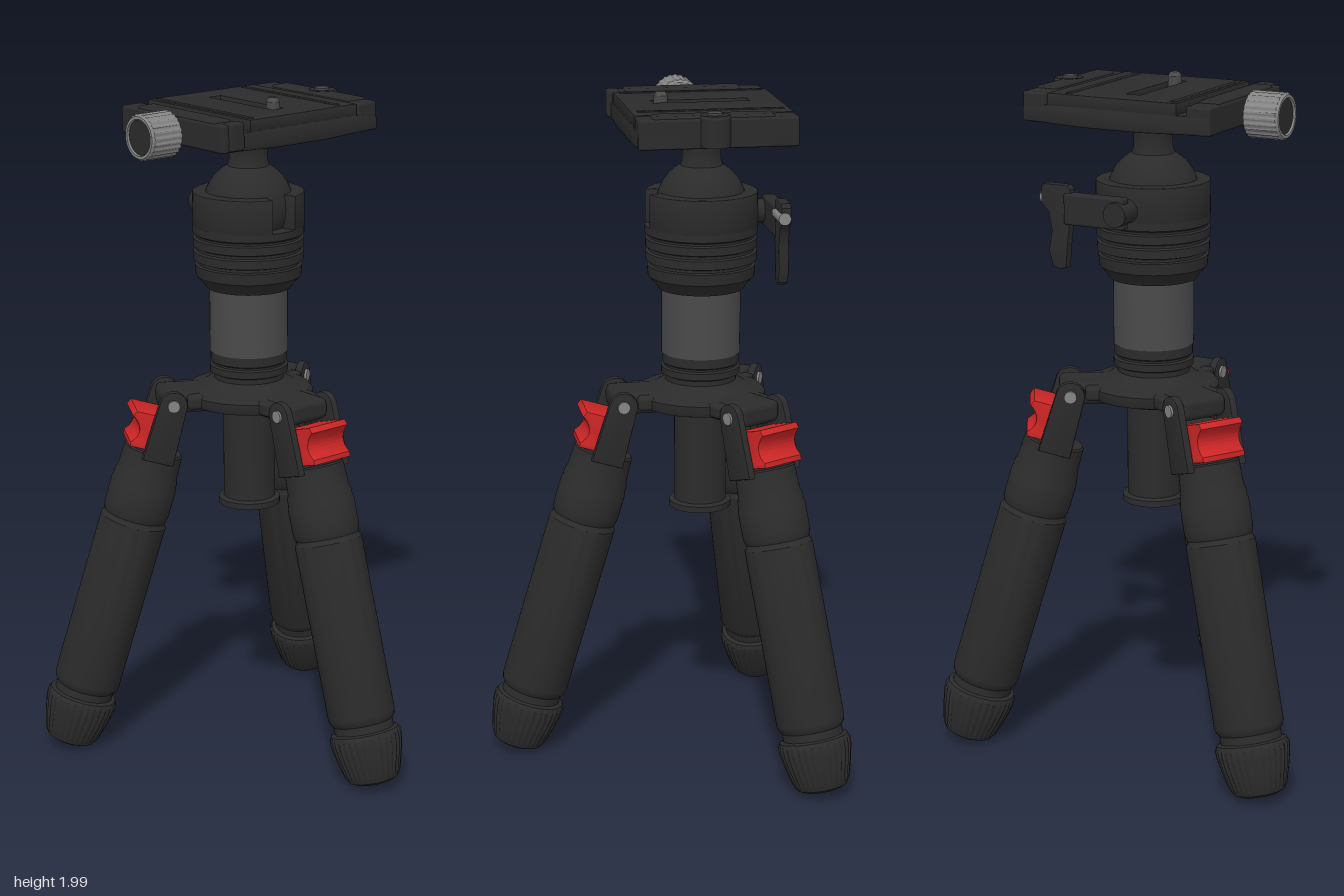
import * as THREE from 'three';
import { toCreasedNormals } from 'three/addons/utils/BufferGeometryUtils.js';
import { RoundedBoxGeometry } from 'three/addons/geometries/RoundedBoxGeometry.js';

const mat = (name, color) => {
  const m = new THREE.MeshStandardMaterial({ color });
  m.name = name;
  return m;
};
const black = mat('black', 0x2b2b2b);
const grey = mat('column grey', 0x4a4a4a);
const silver = mat('silver', 0x858585);
const red = mat('red', 0xcc2525);

const AXIS = -0.143; // x of the centre column

function add(parent, name, geometry, material, x = 0, y = 0, z = 0) {
  const mesh = new THREE.Mesh(geometry, material);
  mesh.name = name;
  mesh.position.set(x, y, z);
  parent.add(mesh);
  return mesh;
}

// Turned solid; profile is [radius, y] from bottom to top. Ribs push every other column outwards.
function turned(profile, segments = 48, ribDepth = 0, ribFrom = -Infinity, ribTo = Infinity) {
  const g = new THREE.LatheGeometry(profile.map(([r, y]) => new THREE.Vector2(r, y)), segments);
  if (ribDepth) {
    const p = g.attributes.position, n = profile.length;
    for (let i = 0; i < p.count; i++) {
      const column = Math.floor(i / n) % segments, y = p.getY(i);
      if (column % 4 < 2 && y >= ribFrom && y <= ribTo) {
        p.setX(i, p.getX(i) * (1 + ribDepth));
        p.setZ(i, p.getZ(i) * (1 + ribDepth));
      }
    }
  }
  return toCreasedNormals(g, 0.5);
}

// Box given by its min and max corners
function block(parent, name, [x0, y0, z0], [x1, y1, z1], material = black, radius = 0.008) {
  const g = new RoundedBoxGeometry(x1 - x0, y1 - y0, z1 - z0, 2, radius);
  return add(parent, name, g, material, (x0 + x1) / 2, (y0 + y1) / 2, (z0 + z1) / 2);
}

// Extrusion centred on its depth
function slab(shape, depth, bevel = 0.005) {
  const g = new THREE.ExtrudeGeometry(shape, {
    depth: depth - 2 * bevel, bevelEnabled: bevel > 0, bevelThickness: bevel,
    bevelSize: bevel, bevelOffset: -bevel, bevelSegments: 2, curveSegments: 24,
  });
  g.translate(0, 0, bevel - depth / 2);
  return toCreasedNormals(g, 0.6);
}

const polygon = (pts) => new THREE.Shape(pts.map(([x, y]) => new THREE.Vector2(x, y)));

function buildLeg() {
  const leg = new THREE.Group();
  leg.name = 'leg';
  // Tube with upper sleeve and groove above the foot
  add(leg, 'legTube', turned([
    [0, -0.97], [0.088, -0.97], [0.088, -0.935], [0.096, -0.925], [0.1, -0.91], [0.1, -0.39],
    [0.096, -0.385], [0.093, -0.375], [0.097, -0.365], [0.099, -0.35], [0.099, -0.275],
    [0.096, -0.268], [0.096, -0.25], [0.091, -0.235], [0.088, -0.165], [0.083, -0.16], [0, -0.16],
  ]), black);
  // Ribbed rubber foot
  add(leg, 'foot', turned([
    [0, -1.118], [0.055, -1.116], [0.072, -1.108], [0.081, -1.09], [0.094, -1.04], [0.103, -0.995],
    [0.104, -0.975], [0.1, -0.962], [0.088, -0.958], [0, -0.958],
  ], 128, 0.03, -1.095, -0.97), black);
  // Hinge cheeks and pin
  const cheek = new THREE.Shape();
  cheek.moveTo(-0.05, -0.18);
  cheek.lineTo(0.045, -0.18);
  cheek.lineTo(0.042, 0);
  cheek.absarc(0, 0, 0.042, 0, Math.PI, false);
  cheek.lineTo(-0.05, -0.18);
  for (const side of [-1, 1]) {
    add(leg, 'hingeCheek', slab(cheek, 0.024), black, 0, 0, side * 0.087);
    const pin = add(leg, 'hingePin', new THREE.CylinderGeometry(0.018, 0.018, 0.012, 24), silver, 0, 0, side * 0.1);
    pin.rotation.x = Math.PI / 2;
  }
  // Scooped angle latch
  const latch = new THREE.Shape();
  latch.moveTo(-0.02, -0.155);
  latch.lineTo(0.088, -0.155);
  latch.lineTo(0.09, -0.14);
  latch.quadraticCurveTo(0.05, -0.1, 0.103, -0.062);
  latch.lineTo(0.095, -0.045);
  latch.lineTo(-0.02, -0.045);
  add(leg, 'angleLatch', slab(latch, 0.142), red);
  return leg;
}

function buildSpider(root) {
  const spider = new THREE.Group();
  spider.name = 'spider';
  spider.position.x = AXIS;
  root.add(spider);
  add(spider, 'hub', turned([
    [0, 1.06], [0.12, 1.06], [0.135, 1.075], [0.185, 1.08], [0.19, 1.09], [0.19, 1.112],
    [0.18, 1.122], [0.14, 1.13], [0.11, 1.15], [0, 1.15],
  ]), black);
  for (let i = 0; i < 3; i++) {
    const arm = new THREE.Group();
    arm.name = 'legMount';
    arm.rotation.y = i * Math.PI * 2 / 3;
    spider.add(arm);
    block(arm, 'yoke', [0.1, 1.063, -0.073], [0.275, 1.128, 0.073], black, 0.02);
    block(arm, 'yokeShoulder', [0.1, 1.08, -0.1], [0.2, 1.122, 0.1], black, 0.012);
    const leg = buildLeg();
    leg.position.set(0.243, 1.095, 0);
    leg.rotation.z = THREE.MathUtils.degToRad(16.6);
    arm.add(leg);
  }
}

function buildColumn(root) {
  add(root, 'lowerColumn', turned([
    [0, 0.757], [0.092, 0.757], [0.092, 0.775], [0.077, 0.78], [0.077, 1.07], [0, 1.07],
  ]), black, AXIS);
  add(root, 'columnCollar', turned([
    [0, 1.13], [0.105, 1.13], [0.105, 1.165], [0.116, 1.17], [0.116, 1.19], [0.108, 1.194],
    [0.108, 1.2], [0.114, 1.204], [0.114, 1.232], [0, 1.232],
  ]), black, AXIS);
  add(root, 'column', turned([[0, 1.232], [0.116, 1.232], [0.116, 1.43], [0, 1.43]]), grey, AXIS);
}

function buildBallHead(root) {
  const head = new THREE.Group();
  head.name = 'ballHead';
  head.position.x = AXIS;
  root.add(head);
  add(head, 'headBase', turned([
    [0, 1.425], [0.125, 1.425], [0.135, 1.44], [0.155, 1.462], [0.158, 1.495], [0.15, 1.498],
    [0.15, 1.506], [0.162, 1.51], [0.162, 1.535], [0.154, 1.539], [0.154, 1.547], [0.163, 1.551],
    [0.163, 1.575], [0.156, 1.579], [0.156, 1.585], [0.164, 1.59], [0.164, 1.612], [0, 1.612],
  ], 64), black);
  // Cup wall with the drop notch on its left side
  const gap = 0.26, wall = new THREE.Shape();
  wall.absarc(0, 0, 0.164, gap, Math.PI * 2 - gap, false);
  wall.absarc(0, 0, 0.122, Math.PI * 2 - gap, gap, true);
  const cup = slab(wall, 0.106);
  cup.rotateX(-Math.PI / 2);
  add(head, 'cup', cup, black, 0, 1.659, 0);
  add(head, 'ball', new THREE.SphereGeometry(0.132, 40, 24), black, 0, 1.67, 0);
  add(head, 'neck', turned([
    [0.085, 1.765], [0.062, 1.785], [0.056, 1.805], [0.056, 1.86], [0.07, 1.89], [0, 1.89],
  ]), black);

  // Locking lever
  const lever = new THREE.Group();
  lever.name = 'lockLever';
  head.add(lever);
  const leaf = polygon([
    [0.15, 1.7], [0.16, 1.712], [0.235, 1.712], [0.245, 1.7], [0.245, 1.655], [0.222, 1.63],
    [0.212, 1.58], [0.222, 1.52], [0.21, 1.478], [0.19, 1.468], [0.165, 1.475], [0.16, 1.54], [0.15, 1.62],
  ]);
  const leafMesh = add(lever, 'leverLeaf', slab(leaf, 0.03), black, -0.2, 0, 0);
  leafMesh.rotation.y = Math.PI / 2;
  block(lever, 'leverBar', [-0.222, 1.6, -0.17], [-0.182, 1.69, 0.02]);
  const stem = add(lever, 'leverStem', new THREE.CylinderGeometry(0.035, 0.035, 0.1, 24), black, -0.185, 1.645, 0);
  stem.rotation.z = Math.PI / 2;
  const pin = add(lever, 'leverPin', new THREE.CylinderGeometry(0.018, 0.018, 0.1, 20), silver, -0.195, 1.67, -0.2);
  pin.rotation.x = Math.PI / 2;
}

function buildClamp(root) {
  const clamp = new THREE.Group();
  clamp.name = 'quickReleaseClamp';
  root.add(clamp);
  // Tapered base, extruded across the width
  const base = slab(polygon([
    [-0.285, 1.888], [-0.08, 1.88], [0.1, 1.88], [0.295, 1.888], [0.295, 1.925], [0.21, 1.938], [-0.285, 1.938],
  ]), 0.455);
  base.rotateY(Math.PI / 2);
  add(clamp, 'clampBase', base, black, -0.14, 0, 0);
  // Sliding plate with a screw slot
  const plate = polygon([[-0.367, -0.188], [0.086, -0.188], [0.086, 0.214], [-0.367, 0.214]]);
  plate.holes.push(new THREE.Path([[-0.28, -0.03], [0, -0.03], [0, 0.012], [-0.28, 0.012]]
    .map(([x, y]) => new THREE.Vector2(x, y))));
  const top = slab(plate, 0.036, 0.003);
  top.rotateX(-Math.PI / 2);
  add(clamp, 'cameraPlate', top, black, 0, 1.952, 0);
  for (const z of [-0.158, 0.168]) block(clamp, 'plateRib', [-0.35, 1.965, z - 0.008], [0.07, 1.973, z + 0.008], black, 0.003);
  add(clamp, 'cameraScrew', turned([[0, 1.94], [0.02, 1.94], [0.02, 1.988], [0.012, 2], [0, 2]], 24), grey, -0.025, 0, 0.008);
  // Jaws
  block(clamp, 'backJaw', [-0.367, 1.885, -0.295], [0.086, 1.97, -0.222]);
  block(clamp, 'backJawPad', [-0.3, 1.96, -0.288], [0.045, 1.977, -0.226]);
  block(clamp, 'frontJaw', [-0.367, 1.885, 0.216], [0.086, 1.965, 0.29]);
  block(clamp, 'frontJawPad', [-0.3, 1.955, 0.222], [0.045, 1.972, 0.285]);
  block(clamp, 'jawStop', [0.06, 1.89, 0.218], [0.1, 1.97, 0.268]);
  // Level housing on the back edge
  add(clamp, 'levelHousing', turned([[0, 1.89], [0.045, 1.89], [0.045, 1.97], [0.04, 1.978], [0, 1.978]], 32), black, -0.13, 0, -0.278);
  add(clamp, 'level', new THREE.CylinderGeometry(0.022, 0.022, 0.008, 24), grey, -0.13, 1.98, -0.275);
  // Clamp knob with a dark face
  const knob = new THREE.Group();
  knob.name = 'clampKnob';
  knob.position.set(-0.132, 1.917, 0);
  knob.rotation.x = Math.PI / 2;
  clamp.add(knob);
  add(knob, 'knobShaft', new THREE.CylinderGeometry(0.03, 0.03, 0.06, 24), silver, 0, 0.29, 0);
  add(knob, 'knobGrip', turned([
    [0, 0.303], [0.058, 0.303], [0.064, 0.308], [0.064, 0.405], [0.06, 0.412], [0.052, 0.412], [0.05, 0.4], [0, 0.4],
  ], 96, 0.04, 0.307, 0.406), silver);
  add(knob, 'knobFace', new THREE.CylinderGeometry(0.05, 0.05, 0.008, 32), black, 0, 0.402, 0);
}

export function createModel() {
  const root = new THREE.Group();
  root.name = 'miniTripod';
  buildSpider(root);
  buildColumn(root);
  buildBallHead(root);
  buildClamp(root);
  return root;
}
